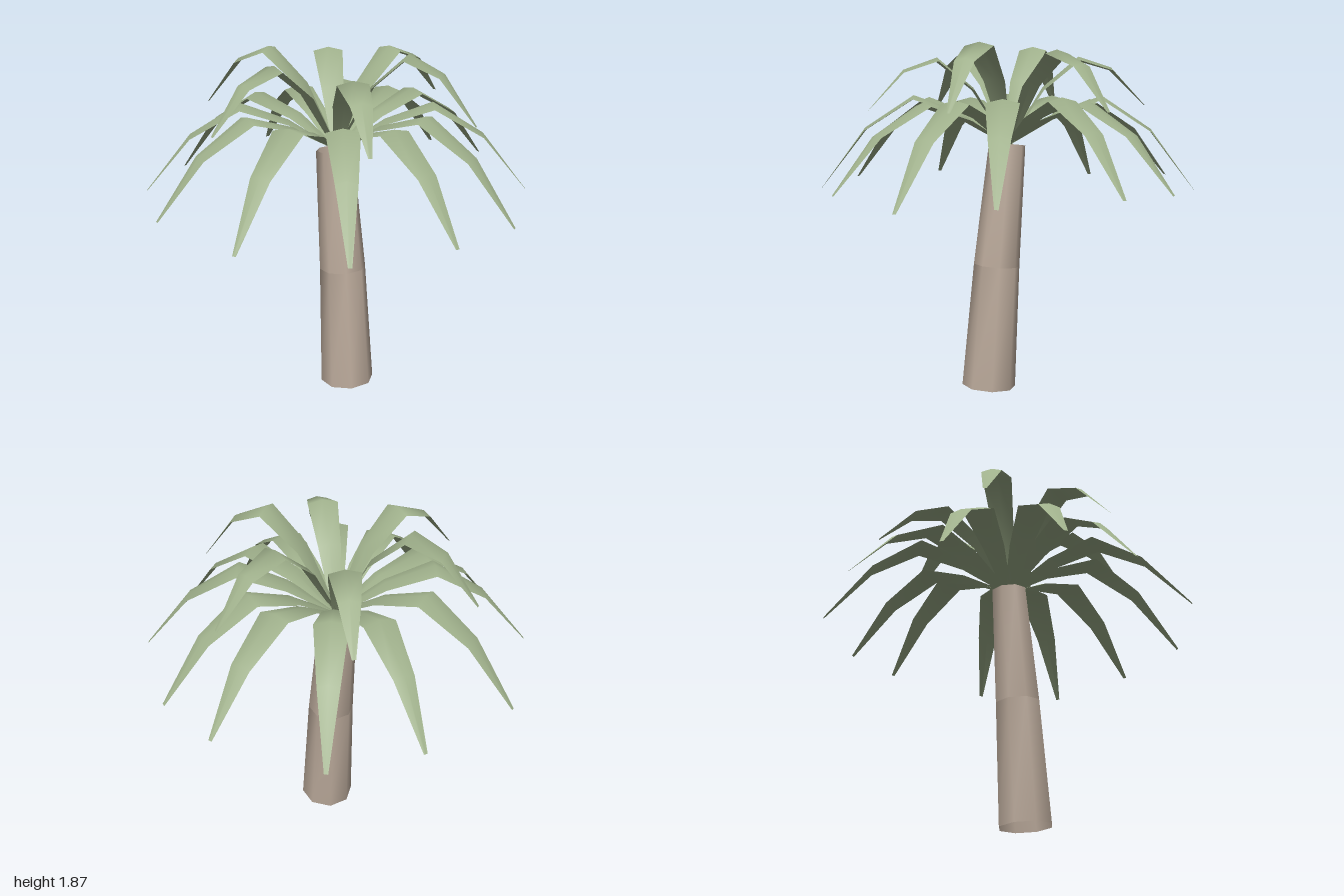
import * as THREE from 'three';

// Smooth surface through rows of points; closed rows wrap around
function loft(rows, closed) {
  const n = rows[0].length, pos = [], idx = [];
  rows.forEach(row => row.forEach(p => pos.push(p.x, p.y, p.z)));
  for (let i = 0; i < rows.length - 1; i++) {
    for (let j = 0; j < (closed ? n : n - 1); j++) {
      const k = (j + 1) % n;
      const a = i * n + j, b = i * n + k, c = a + n, d = b + n;
      idx.push(a, c, b, b, c, d);
    }
  }
  const g = new THREE.BufferGeometry();
  g.setAttribute('position', new THREE.Float32BufferAttribute(pos, 3));
  g.setIndex(idx);
  g.computeVertexNormals();
  return g;
}

// Sections along a frond: [fraction of reach, height, half width, midrib rise]
const LOWER = [[0, 1.33, 0.02, 0], [0.25, 1.49, 0.06, 0.015], [0.5, 1.575, 0.085, 0.02], [0.76, 1.41, 0.055, 0.015], [1, 1.1, 0.01, 0]];
const UPPER = [[0, 1.33, 0.02, 0], [0.25, 1.67, 0.06, 0.015], [0.51, 1.845, 0.08, 0.02], [0.75, 1.77, 0.055, 0.015], [1, 1.53, 0.01, 0]];

// Frond tips and how far each arch is raised: [x, y, z, lift]
const LOWER_TIPS = [
  [-0.01, 1.13, -1, -0.02], [0.35, 1.14, -0.94, 0], [0.83, 1.12, -0.57, 0], [1, 1.08, -0.11, 0],
  [0.94, 1.12, 0.36, -0.025], [0.63, 1.1, 0.78, 0.01], [0.14, 1.11, 1, -0.01], [-0.46, 1.1, 0.89, -0.015],
  [-0.77, 1.13, 0.65, 0], [-1, 1.08, 0.12, 0], [-0.87, 1.13, -0.48, -0.025], [-0.56, 1.09, -0.83, 0.01],
];
const UPPER_TIPS = [
  [0.16, 1.53, -0.73, -0.025], [0.715, 1.53, -0.195, 0.012], [0.545, 1.52, 0.5, -0.06],
  [-0.24, 1.53, 0.7, -0.025], [-0.715, 1.53, 0.2, 0], [-0.505, 1.54, -0.545, -0.06],
];

function frond(sections, [x, y, z, lift]) {
  const side = new THREE.Vector3(z, 0, -x).normalize();
  const drop = y - sections[4][1];
  const rows = sections.map(([t, h, w, rise]) => {
    const height = h + drop * t * t + lift * Math.sin(Math.PI * t);
    return [-1, 0, 1].map(s =>
      new THREE.Vector3(x * t, height + (s === 0 ? rise * 0.6 : -rise * 0.4), z * t)
        .addScaledVector(side, s * w));
  });
  return loft(rows, false);
}

// Eight-sided trunk ring square to the leaning axis
const RINGS = [
  [0.107, 0.011, 0.05, 0.146],
  [0.06, 0.68, 0.03, 0.125],
  [-0.008, 1.335, 0.01, 0.099],
];
function ring(i) {
  const [x, y, z, r] = RINGS[i];
  const a = RINGS[Math.max(0, i - 1)], b = RINGS[Math.min(2, i + 1)];
  const axis = new THREE.Vector3(b[0] - a[0], b[1] - a[1], b[2] - a[2]).normalize();
  const q = new THREE.Quaternion().setFromUnitVectors(new THREE.Vector3(0, 1, 0), axis);
  return Array.from({ length: 8 }, (_, j) => {
    const t = j * Math.PI / 4;
    return new THREE.Vector3(r * Math.cos(t), 0, -r * Math.sin(t))
      .applyQuaternion(q).add(new THREE.Vector3(x, y, z));
  });
}

export function createModel() {
  const bark = new THREE.MeshStandardMaterial({ color: 0xbaa99a, side: THREE.DoubleSide });
  bark.name = 'bark';
  const leaf = new THREE.MeshStandardMaterial({ color: 0x9fb08b, side: THREE.DoubleSide });
  leaf.name = 'leaf green';

  const model = new THREE.Group();
  model.name = 'palmTree';

  // Trunk in two tapering lengths that meet at a seam
  ['lowerTrunk', 'upperTrunk'].forEach((name, i) => {
    const trunk = new THREE.Mesh(loft([ring(i + 1), ring(i)], true), bark);
    trunk.name = name;
    model.add(trunk);
  });

  // Two crowns of fronds
  for (const [name, sections, tips] of [['lowerFronds', LOWER, LOWER_TIPS], ['upperFronds', UPPER, UPPER_TIPS]]) {
    const crown = new THREE.Group();
    crown.name = name;
    for (const tip of tips) {
      const mesh = new THREE.Mesh(frond(sections, tip), leaf);
      mesh.name = 'frond';
      crown.add(mesh);
    }
    model.add(crown);
  }
  return model;
}
